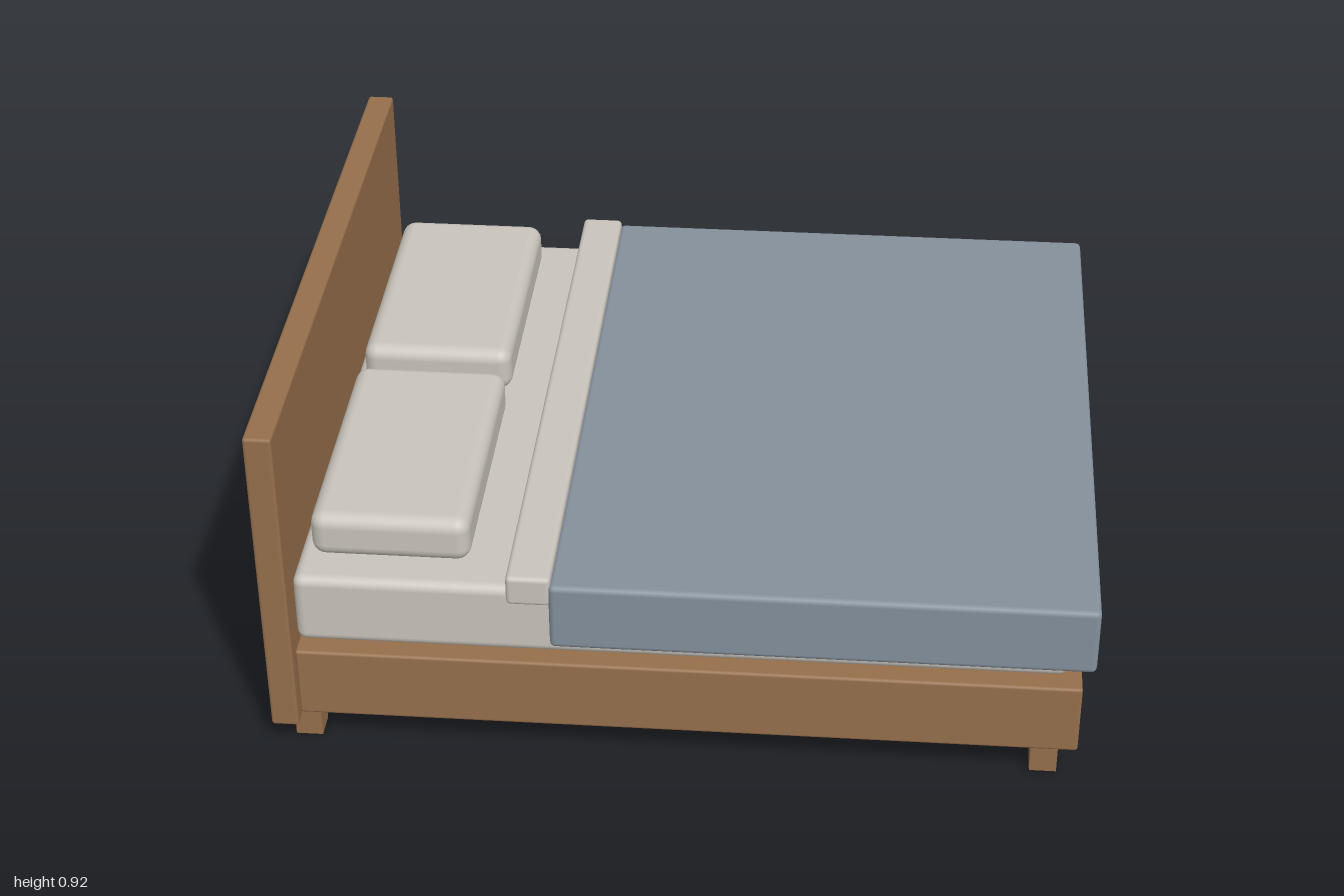
import * as THREE from 'three';
import { RoundedBoxGeometry } from 'three/addons/geometries/RoundedBoxGeometry.js';

export function createModel() {
  const bed = new THREE.Group();
  bed.name = 'bed';

  const material = (name, color) => {
    const m = new THREE.MeshStandardMaterial({ color });
    m.name = name;
    return m;
  };
  const wood = material('wood', 0x966f4c);
  const linen = material('linen', 0xc9c4bb);
  const blue = material('blanketBlue', 0x84909c);

  // Box between two limits on each axis; a radius rounds its edges
  const block = (name, mat, [x0, x1], [y0, y1], [z0, z1], radius = 0, segments = 2) => {
    const size = [x1 - x0, y1 - y0, z1 - z0];
    const geometry = radius
      ? new RoundedBoxGeometry(...size, segments, radius)
      : new THREE.BoxGeometry(...size);
    const mesh = new THREE.Mesh(geometry, mat);
    mesh.name = name;
    mesh.position.set((x0 + x1) / 2, (y0 + y1) / 2, (z0 + z1) / 2);
    bed.add(mesh);
  };

  // Wooden structure
  block('headboard', wood, [-1, -0.932], [0.065, 0.915], [-0.85, 0.85], 0.008);
  block('bedFrame', wood, [-0.928, 0.97], [0.1, 0.29], [-0.84, 0.84], 0.008);

  // Bedding
  block('mattress', linen, [-0.928, 0.935], [0.295, 0.485], [-0.805, 0.805], 0.025, 3);
  block('sheetFold', linen, [-0.405, -0.298], [0.47, 0.55], [-0.85, 0.85], 0.012);
  block('blanket', blue, [-0.303, 0.997], [0.352, 0.532], [-0.856, 0.856], 0.014);

  // Mirrored pillows and legs
  for (const [side, s] of [['left', -1], ['right', 1]]) {
    const across = (a, b) => [s * a, s * b].sort((p, q) => p - q);
    block(side + 'Pillow', linen, [-0.895, -0.508], [0.485, 0.605], across(0.035, 0.718), 0.035, 3);
    block(side + 'HeadLeg', wood, [-0.952, -0.886], [0, 0.105], across(0.733, 0.8));
    block(side + 'FootLeg', wood, [0.86, 0.926], [0, 0.105], across(0.733, 0.8));
  }
  return bed;
}
